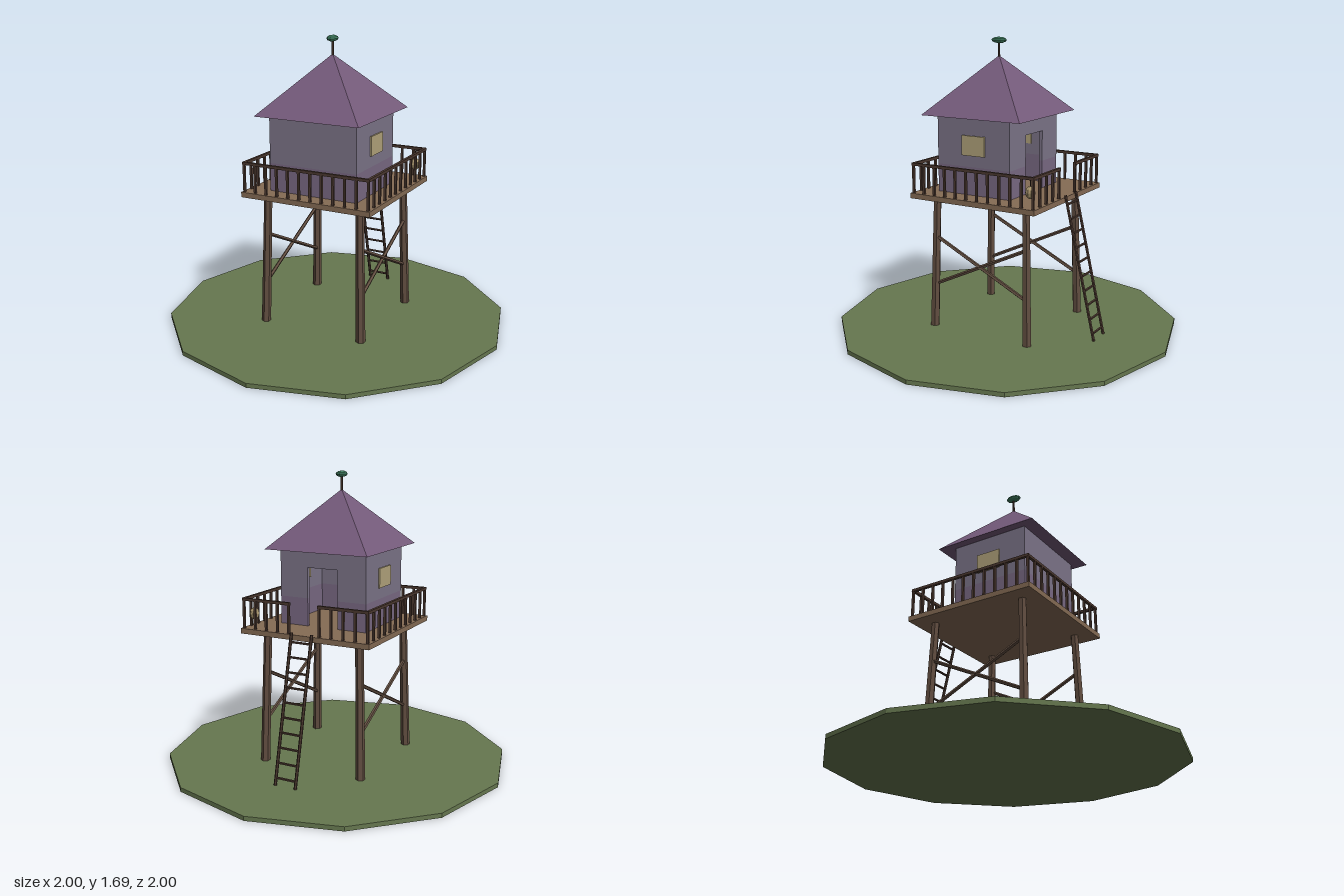
import * as THREE from 'three';

const mat = (color) => new THREE.MeshStandardMaterial({ color, flatShading: true });
const V = (x, y, z) => new THREE.Vector3(x, y, z);
const UP = V(0, 1, 0);

export function createModel() {
  const grass = mat(0x66774f), timber = mat(0x614d40), plank = mat(0x866c55), dark = mat(0x4b382f);
  const wall = mat(0x7d7589), skirt = mat(0x7a6a84), roofMat = mat(0x745a7a);
  const pane = mat(0xb3a47c), green = mat(0x3f7d60), straw = mat(0xa8946c);
  const model = new THREE.Group();

  const group = (name) => {
    const g = new THREE.Group();
    g.name = name;
    model.add(g);
    return g;
  };
  const add = (parent, name, geometry, material, x = 0, y = 0, z = 0) => {
    const mesh = new THREE.Mesh(geometry, material);
    mesh.name = name;
    mesh.position.set(x, y, z);
    parent.add(mesh);
    return mesh;
  };
  const box = (parent, name, w, h, d, material, x, y, z) =>
    add(parent, name, new THREE.BoxGeometry(w, h, d), material, x, y, z);
  // Straight pole between two points; equal radii give an even bar
  const pole = (parent, name, a, b, r0, r1, sides, material) => {
    const dir = b.clone().sub(a);
    const m = add(parent, name, new THREE.CylinderGeometry(r1, r0, dir.length(), sides), material);
    m.position.copy(a).add(b).multiplyScalar(0.5);
    m.quaternion.setFromUnitVectors(UP, dir.normalize());
    return m;
  };

  // Ground disc
  add(model, 'ground', new THREE.CylinderGeometry(1, 1, 0.025, 12), grass, 0, 0.0125, 0);

  // Splayed legs and crossed side braces
  const frame = group('legFrame');
  for (const sx of [-1, 1]) {
    for (const sz of [-1, 1]) {
      pole(frame, 'leg', V(sx * 0.31, 0.02, sz * 0.31), V(sx * 0.29, 0.8, sz * 0.29), 0.027, 0.023, 6, timber);
      pole(frame, 'brace', V(sx * 0.3, 0.28, sz * 0.295), V(sx * 0.3, 0.565, -sz * 0.295), 0.011, 0.011, 5, timber);
    }
  }

  // Deck
  box(model, 'deck', 0.8, 0.03, 0.8, plank, 0, 0.81, 0);

  // Railing, open at the back for the ladder
  const railing = group('railing');
  const R = 0.385;
  const fence = (a, b, count) => {
    const mid = a.clone().add(b).multiplyScalar(0.5);
    box(railing, 'topRail', Math.abs(b.x - a.x) + 0.016, 0.016, Math.abs(b.z - a.z) + 0.016, dark, mid.x, 0.991, mid.z);
    for (let i = 0; i < count; i++) {
      const p = a.clone().lerp(b, i / (count - 1));
      box(railing, 'baluster', 0.013, 0.165, 0.013, dark, p.x, 0.905, p.z);
    }
  };
  fence(V(-R, 0, R), V(R, 0, R), 12);
  for (const s of [-1, 1]) {
    fence(V(s * R, 0, -R), V(s * R, 0, R), 12);
    fence(V(s * 0.095, 0, -R), V(s * R, 0, -R), 5);
  }

  // Ladder
  const ladder = group('ladder');
  const foot = V(0, 0.025, -0.6), head = V(0, 0.84, -0.41);
  for (const s of [-1, 1]) {
    const dx = V(s * 0.063, 0, 0);
    pole(ladder, 'ladderRail', foot.clone().add(dx), head.clone().add(dx), 0.009, 0.009, 6, dark);
  }
  for (let i = 0; i < 10; i++) {
    const p = foot.clone().lerp(head, 0.05 + i * 0.0987);
    pole(ladder, 'rung', V(-0.063, p.y, p.z), V(0.063, p.y, p.z), 0.007, 0.007, 5, dark);
  }

  // Cabin: hollow walls in two bands, with a doorway in the back
  const cabin = group('cabin');
  const cz = 0.06, base = 0.825, split = 0.985, top = 1.262, doorTop = 1.16, t = 0.02;
  for (const [y0, y1, m] of [[base, split, skirt], [split, top, wall]]) {
    const h = y1 - y0, y = (y0 + y1) / 2;
    box(cabin, 'frontWall', 0.54, h, t, m, 0, y, cz + 0.235 - t / 2);
    for (const s of [-1, 1]) {
      box(cabin, 'sideWall', t, h, 0.47 - 2 * t, m, s * (0.27 - t / 2), y, cz);
      box(cabin, 'backWall', 0.175, h, t, m, s * 0.1825, y, cz - 0.235 + t / 2);
    }
  }
  box(cabin, 'doorLintel', 0.19, top - doorTop, t, wall, 0, (top + doorTop) / 2, cz - 0.235 + t / 2);
  for (const s of [-1, 1]) box(cabin, 'window', 0.034, 0.112, 0.148, pane, s * 0.262, 1.105, 0.056);

  // Pyramid roof
  const roofGeo = new THREE.ConeGeometry(0.32 * Math.SQRT2, 0.325, 4).rotateY(Math.PI / 4);
  add(model, 'roof', roofGeo, roofMat, 0, 1.4225, 0.055);

  // Finial
  const finial = group('finial');
  pole(finial, 'finialPole', V(0, 1.56, 0.055), V(0, 1.67, 0.055), 0.007, 0.007, 6, dark);
  add(finial, 'finialKnob', new THREE.SphereGeometry(1, 10, 6), green, 0, 1.671, 0.055).scale.set(0.029, 0.018, 0.048);

  // Hanging lantern at the back corner
  const lantern = group('lantern');
  pole(lantern, 'lanternArm', V(R, 0.99, -R), V(0.343, 0.985, -0.345), 0.004, 0.004, 5, dark);
  pole(lantern, 'lanternCord', V(0.343, 0.93, -0.345), V(0.343, 0.987, -0.345), 0.003, 0.003, 5, dark);
  add(lantern, 'lanternBody', new THREE.SphereGeometry(0.028, 10, 6), straw, 0.343, 0.905, -0.345).scale.y = 1.25;

  return model;
}
